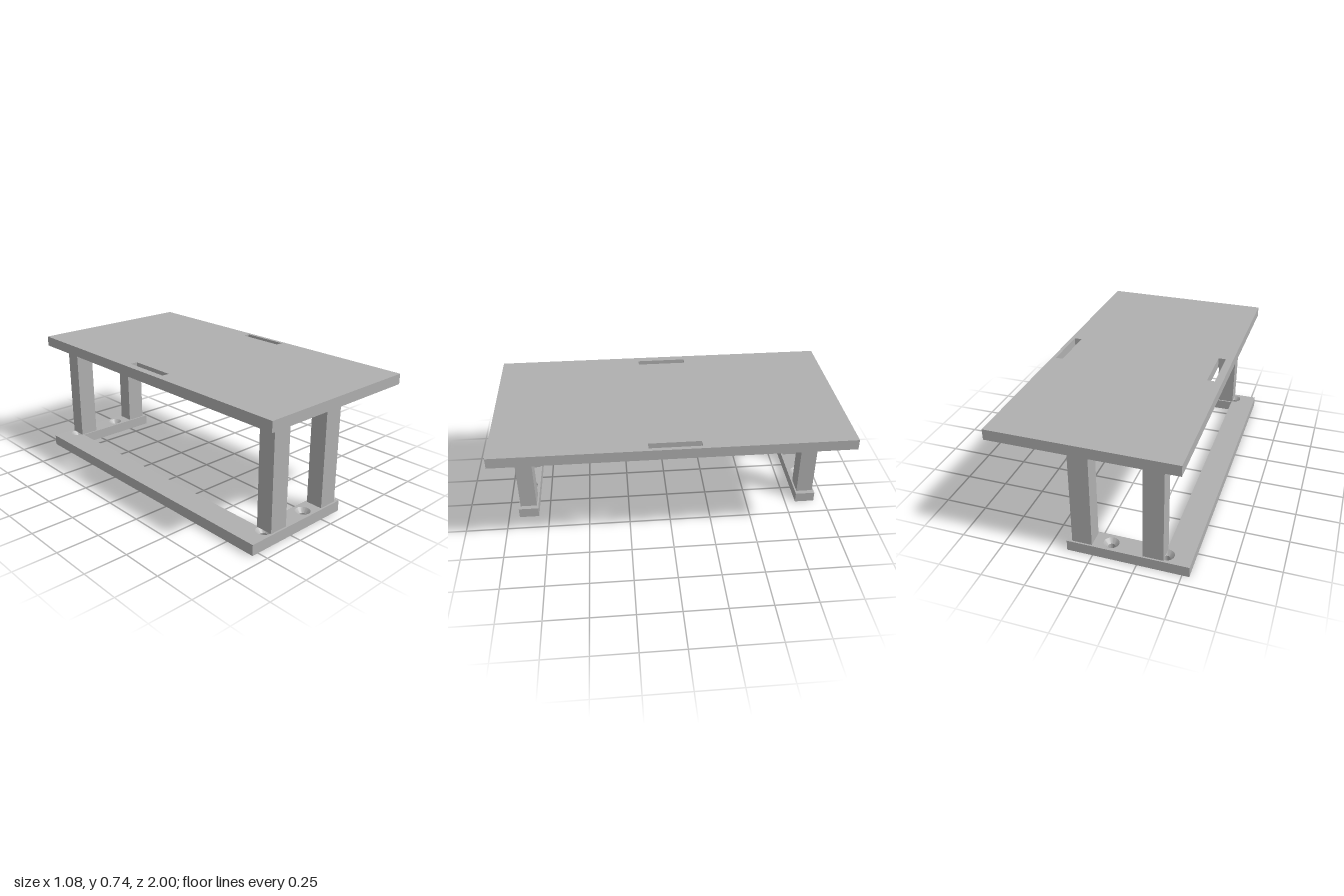
import * as THREE from 'three';
import { mergeGeometries, toCreasedNormals } from 'three/addons/utils/BufferGeometryUtils.js';

const BASE_H = 0.063;   // thickness of the U-shaped base
const TOP_Y = 0.738;    // upper surface of the table
const TOP_T = 0.061;    // thickness of the table top
const FOOT_Z = 0.875;   // centre line of each foot

// Closed path through the given corners
function polygon(points, Type = THREE.Shape) {
  return new Type(points.map(([x, y]) => new THREE.Vector2(x, y)));
}

function rectangle(x0, x1, y0, y1, Type) {
  return polygon([[x0, y0], [x1, y0], [x1, y1], [x0, y1]], Type);
}

// Flat U-shaped plate with countersunk screw holes
function baseGeometry() {
  const outline = [
    [-0.54, -0.935], [0.147, -0.935], [0.147, -0.815], [-0.39, -0.815],
    [-0.39, 0.815], [0.147, 0.815], [0.147, 0.935], [-0.54, 0.935],
  ];
  const holes = [];
  for (const x of [-0.4, -0.09]) for (const z of [-FOOT_Z, FOOT_Z]) holes.push([x, z]);

  const face = (radius) => {
    const shape = polygon(outline);
    for (const [x, z] of holes) {
      shape.holes.push(new THREE.Path().absarc(x, z, radius, 0, Math.PI * 2, true));
    }
    return new THREE.ShapeGeometry(shape, 16);
  };
  const parts = [
    face(0.043).rotateX(-Math.PI / 2).translate(0, BASE_H, 0),
    face(0.02).rotateX(Math.PI / 2),
  ];

  // Outer walls, one plane for each edge of the outline
  outline.forEach(([x0, z0], i) => {
    const [x1, z1] = outline[(i + 1) % outline.length];
    const dx = x1 - x0, dz = z1 - z0;
    parts.push(new THREE.PlaneGeometry(Math.hypot(dx, dz), BASE_H)
      .rotateY(Math.atan2(dz, -dx))
      .translate((x0 + x1) / 2, BASE_H / 2, (z0 + z1) / 2));
  });

  // Hole linings: cone above, straight bore below, facing inwards
  const profile = [[0.043, BASE_H], [0.02, BASE_H - 0.025], [0.02, 0]]
    .map(([r, y]) => new THREE.Vector2(r, y));
  for (const [x, z] of holes) {
    parts.push(new THREE.LatheGeometry(profile, 32).translate(x, 0, z));
  }
  return toCreasedNormals(mergeGeometries(parts.map((g) => g.toNonIndexed())), 0.5);
}

// Board with two long hand slots
function tableTopGeometry() {
  const shape = rectangle(-0.5, 0.537, -1, 1);
  for (const x of [-0.434, 0.492]) {
    shape.holes.push(rectangle(x - 0.022, x + 0.022, -0.149, 0.142, THREE.Path));
  }
  return new THREE.ExtrudeGeometry(shape, { depth: TOP_T, bevelEnabled: false })
    .rotateX(Math.PI / 2)
    .translate(0, TOP_Y, 0);
}

export function createModel() {
  const model = new THREE.Group();
  model.name = 'table';
  const grey = new THREE.MeshStandardMaterial({ color: 0xb0b0b0 });
  grey.name = 'grey';

  const add = (name, geometry) => {
    const mesh = new THREE.Mesh(geometry, grey);
    mesh.name = name;
    model.add(mesh);
    return mesh;
  };

  add('base', baseGeometry());
  add('tableTop', tableTopGeometry());

  // Four square posts between base and top
  const legH = TOP_Y - TOP_T - BASE_H;
  const legGeometry = new THREE.BoxGeometry(0.113, legH, 0.1);
  for (const [side, x] of [['right', -0.339], ['left', 0.0615]]) {
    for (const [end, z] of [['Front', FOOT_Z], ['Back', -FOOT_Z]]) {
      add(`${side}${end}Leg`, legGeometry).position.set(x, BASE_H + legH / 2, z);
    }
  }
  return model;
}
